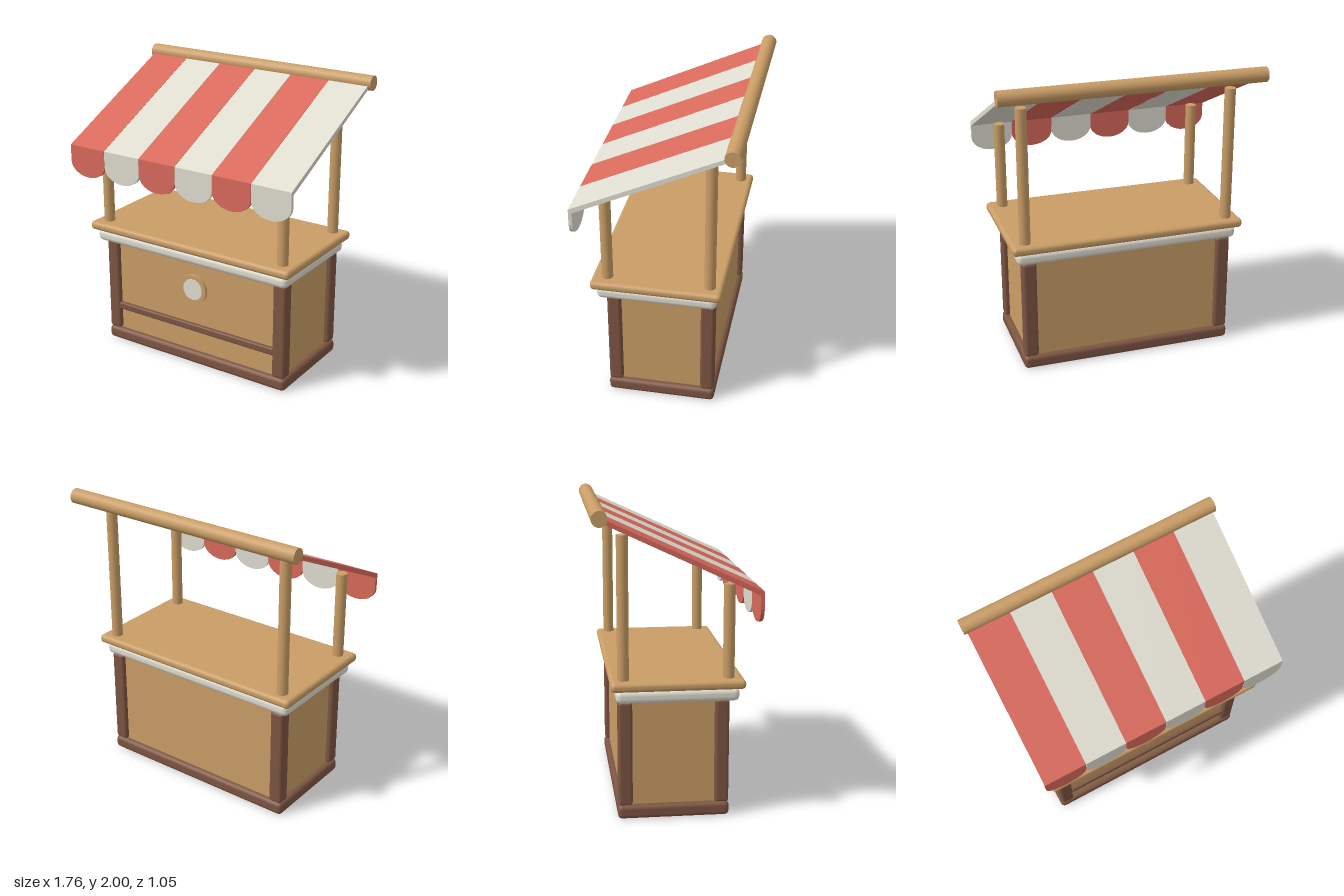
import * as THREE from 'three';
import { RoundedBoxGeometry } from 'three/addons/geometries/RoundedBoxGeometry.js';

function material(name, color) {
  const m = new THREE.MeshStandardMaterial({ color });
  m.name = name;
  return m;
}

export function createModel() {
  const stall = new THREE.Group();
  stall.name = 'marketStall';
  const wood = material('light wood', 0xc99d66);
  const darkWood = material('dark wood', 0x7d5542);
  const red = material('red cloth', 0xd9695b);
  const cream = material('cream', 0xdfdcd0);

  function add(name, geometry, mat, x = 0, y = 0, z = 0, parent = stall) {
    const mesh = new THREE.Mesh(geometry, mat);
    mesh.name = name;
    mesh.position.set(x, y, z);
    parent.add(mesh);
    return mesh;
  }
  const rounded = (w, h, d, r) => new RoundedBoxGeometry(w, h, d, 2, r);

  // Counter body
  const midZ = -0.01;
  add('base', rounded(1.47, 0.09, 0.72, 0.028), darkWood, 0, 0.045, midZ);
  add('body', new THREE.BoxGeometry(1.39, 0.72, 0.65), wood, 0, 0.44, midZ);
  add('trim', rounded(1.53, 0.085, 0.785, 0.035), cream, 0, 0.817, 0.013);
  add('counterTop', rounded(1.6, 0.06, 0.852, 0.026), wood, 0, 0.89, 0.013);
  add('frontRail', rounded(1.29, 0.052, 0.045, 0.012), darkWood, 0, 0.271, 0.32);

  // Corner boards and roof posts, mirrored left and right
  for (const s of [-1, 1]) {
    for (const z of [0.3, -0.32]) {
      add('cornerBoard', rounded(0.095, 0.69, 0.092, 0.02), darkWood, s * 0.682, 0.435, z);
    }
    for (const [z, top] of [[0.339, 1.52], [-0.33, 1.835]]) {
      const h = top - 0.9;
      add('roofPost', new THREE.CylinderGeometry(0.037, 0.037, h, 20), wood, s * 0.702, 0.9 + h / 2, z);
    }
  }

  // Round badge on the front panel
  const ring = new THREE.CylinderGeometry(0.104, 0.104, 0.03, 32).rotateX(Math.PI / 2);
  const disc = new THREE.CylinderGeometry(0.076, 0.076, 0.008, 32).rotateX(Math.PI / 2);
  add('badgeRing', ring, wood, 0, 0.56, 0.32);
  add('badgeDisc', disc, cream, 0, 0.56, 0.336);

  // Ridge pole
  const pole = new THREE.CylinderGeometry(0.05, 0.05, 1.765, 28).rotateZ(Math.PI / 2);
  add('ridgePole', pole, wood, 0, 1.95, -0.476);

  // Striped awning: sloping strips with scalloped flaps
  const awning = new THREE.Group();
  awning.name = 'awning';
  stall.add(awning);
  const count = 6, pitch = 1.726 / count, w = pitch - 0.002;

  const slope = new THREE.Shape([
    [0.528, 1.494], [-0.46, 1.952], [-0.46, 1.922], [0.505, 1.47], [0.528, 1.47],
  ].map(([z, y]) => new THREE.Vector2(z, y)));
  const stripGeo = new THREE.ExtrudeGeometry(slope, { depth: w, bevelEnabled: false });
  stripGeo.translate(0, 0, -w / 2).rotateY(-Math.PI / 2);

  const flap = new THREE.Shape();
  flap.moveTo(-w / 2, 1.472);
  flap.lineTo(-w / 2, 1.38);
  for (let i = 1; i <= 12; i++) {
    const a = Math.PI * (1 + i / 12);
    flap.lineTo(Math.cos(a) * w / 2, 1.38 + Math.sin(a) * 0.097);
  }
  flap.lineTo(w / 2, 1.472);
  flap.closePath();
  const flapGeo = new THREE.ExtrudeGeometry(flap, { depth: 0.023, bevelEnabled: false });

  for (let i = 0; i < count; i++) {
    const x = (i - (count - 1) / 2) * pitch;
    const cloth = i % 2 ? cream : red;
    add('awningStrip', stripGeo, cloth, x, 0, 0, awning);
    add('awningFlap', flapGeo, cloth, x, 0, 0.505, awning);
  }
  return stall;
}
